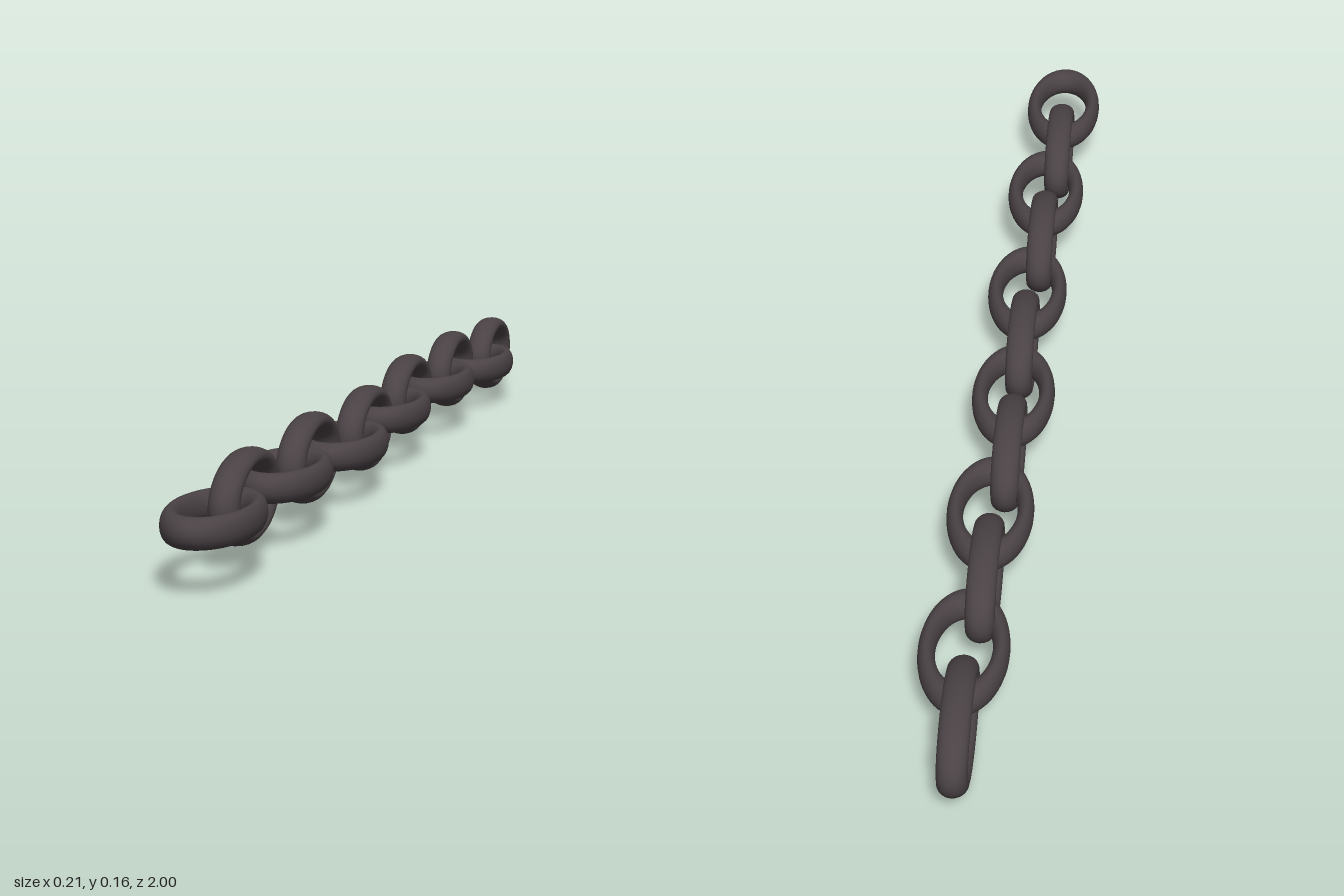
import * as THREE from 'three';

export function createModel() {
  const chain = new THREE.Group();
  chain.name = 'chain';
  const iron = new THREE.MeshStandardMaterial({ color: 0x4a4245 });

  // Oval link: a torus stretched along z and thickened across its plane
  const flatLink = new THREE.TorusGeometry(0.0575, 0.0135, 20, 56);
  flatLink.scale(1, 1.87, 1.74);
  flatLink.rotateX(Math.PI / 2);
  const uprightLink = flatLink.clone().rotateZ(Math.PI / 2);

  // Slight wander of each link centre [x, y], front to back
  const centres = [
    [-0.033, 0.094], [-0.034, 0.093], [-0.017, 0.095], [-0.02, 0.092],
    [-0.003, 0.083], [-0.005, 0.084], [0, 0.088], [-0.004, 0.09],
    [0.015, 0.088], [0.011, 0.088], [0.031, 0.075], [0.026, 0.072],
  ];

  // Links alternate flat and upright at an even pitch
  const first = 0.867;
  const pitch = (2 * first) / (centres.length - 1);
  centres.forEach(([x, y], i) => {
    const upright = i % 2 === 1;
    const link = new THREE.Mesh(upright ? uprightLink : flatLink, iron);
    link.name = (upright ? 'uprightLink' : 'flatLink') + (i + 1);
    link.position.set(x, y, first - i * pitch);
    chain.add(link);
  });
  return chain;
}
